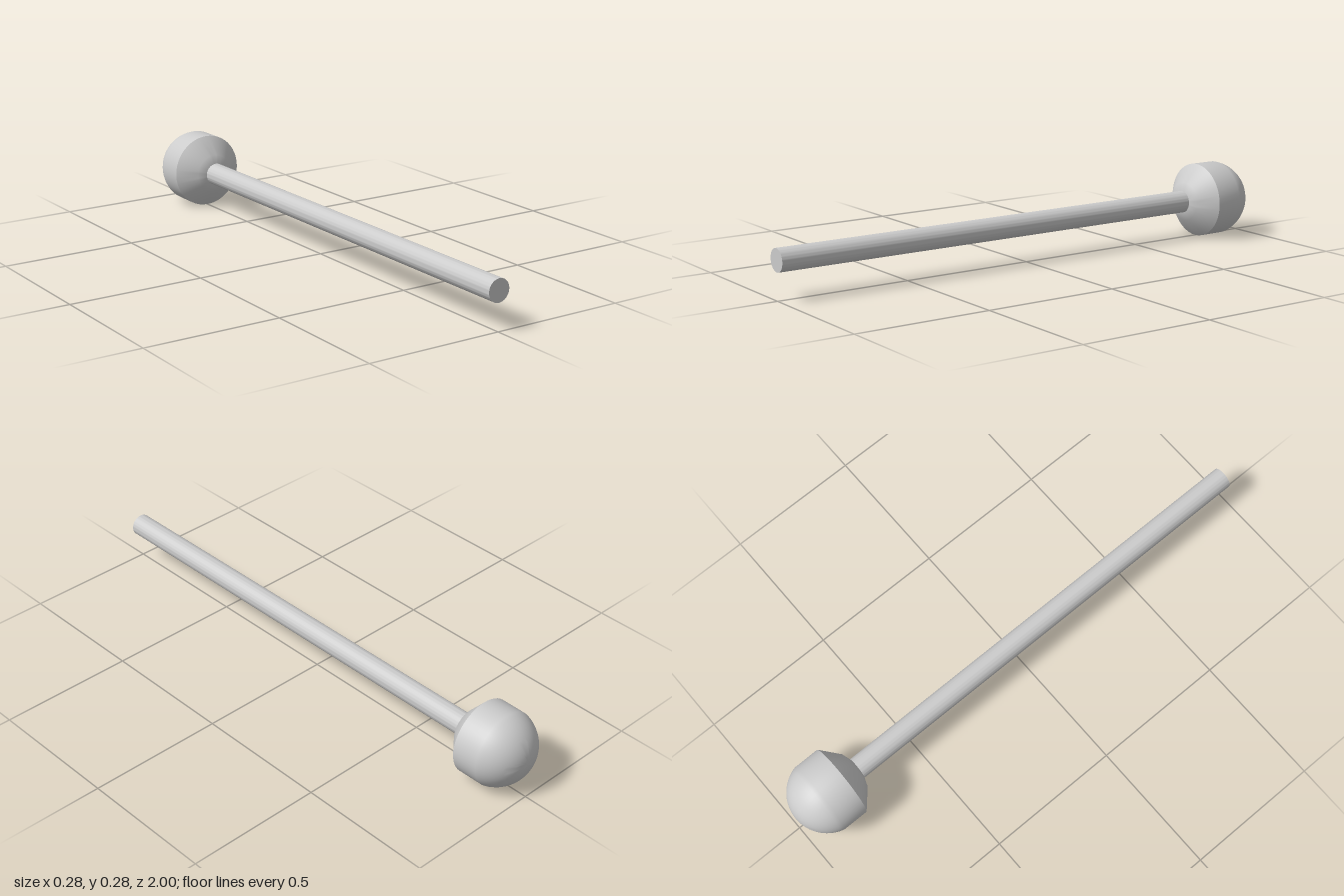
import * as THREE from 'three';
import { toCreasedNormals } from 'three/addons/utils/BufferGeometryUtils.js';

const AXIS_HEIGHT = 0.138;

// Revolve a [radius, z] profile (running from back to front) around the z axis
function turned(name, profile, material) {
  const points = profile.map(([r, z]) => new THREE.Vector2(r, z));
  const geometry = new THREE.LatheGeometry(points, 48).rotateX(Math.PI / 2);
  const mesh = new THREE.Mesh(toCreasedNormals(geometry, 0.45), material);
  mesh.name = name;
  mesh.position.y = AXIS_HEIGHT;
  return mesh;
}

export function createModel() {
  const group = new THREE.Group();
  group.name = 'malletStick';
  const material = new THREE.MeshStandardMaterial({ color: 0xcccccc });

  // Head: spherical back, straight band, tapered front and shallow collar
  const dome = [];
  const radius = 0.142, centre = -0.858, steps = 12;
  const sweep = Math.acos((centre + 0.893) / radius);
  for (let i = 0; i <= steps; i++) {
    const a = (i / steps) * sweep;
    dome.push([radius * Math.sin(a), centre - radius * Math.cos(a)]);
  }
  group.add(turned('head', [
    ...dome,
    [0.138, -0.795],
    [0.073, -0.738],
    [0.04, -0.726],
    [0, -0.726],
  ], material));

  // Shaft: a plain round rod ending inside the head
  group.add(turned('shaft', [[0, -0.8], [0.041, -0.8], [0.041, 1], [0, 1]], material));

  return group;
}
